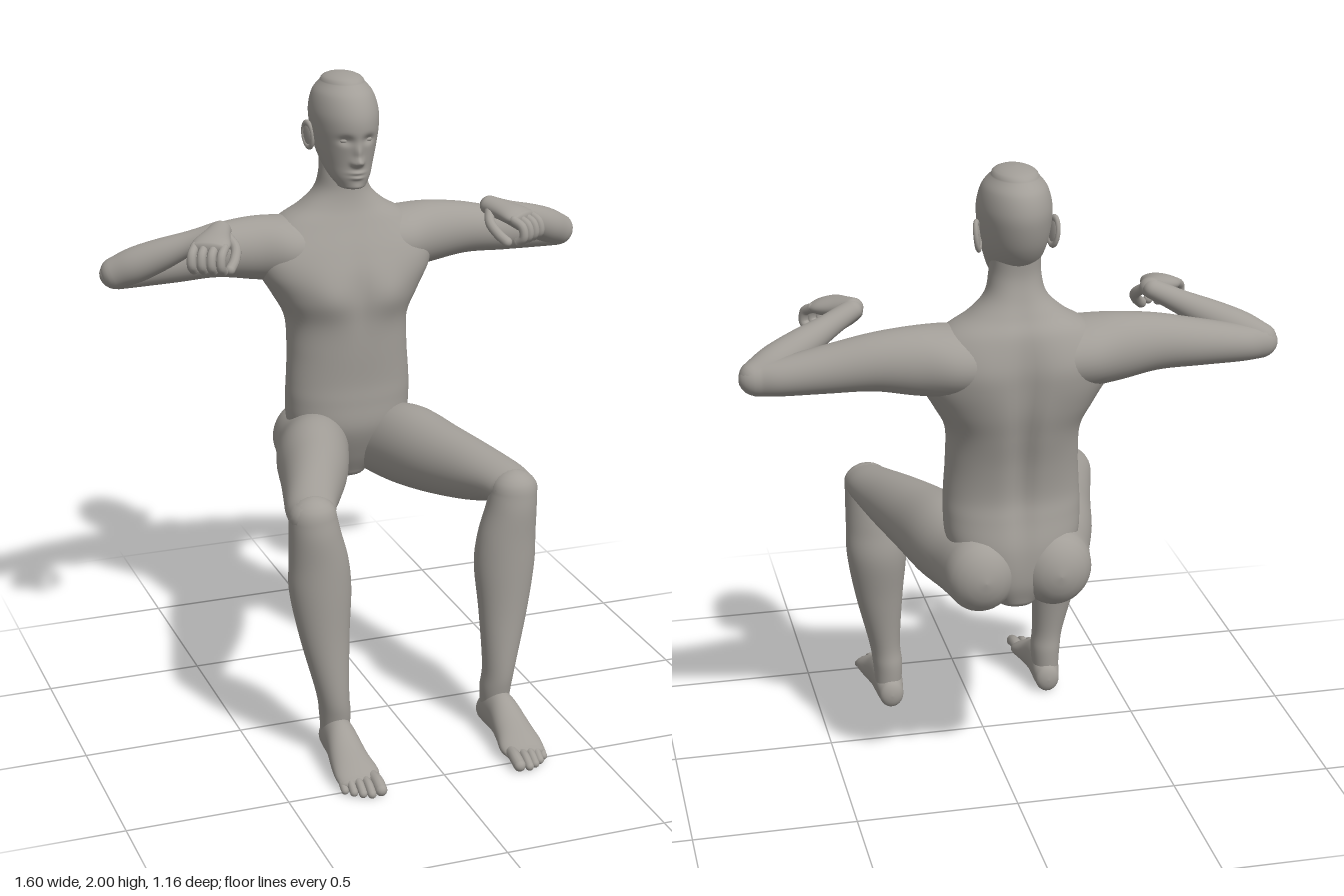
import * as THREE from 'three';
import { mergeGeometries } from 'three/addons/utils/BufferGeometryUtils.js';

const V3 = (x, y, z) => new THREE.Vector3(x, y, z);
const X = V3(1, 0, 0), Y = V3(0, 1, 0), Z = V3(0, 0, 1);

// Smooth skin through elliptical rings [x, y, z, radiusU, radiusV], with rounded ends.
function loft(rings, U, V, { cap0 = 0.02, cap1 = 0.02, segs = 40, steps = 6, power = 2, shape } = {}) {
  const curve = pts => new THREE.CatmullRomCurve3(pts, false, 'catmullrom', 0.5);
  const centres = curve(rings.map(r => V3(r[0], r[1], r[2])));
  const radii = curve(rings.map(r => V3(r[3], r[4], 0)));
  const N = U.clone().cross(V);
  const travel = centres.getPoint(1).sub(centres.getPoint(0)).dot(N);
  const ahead = N.clone().multiplyScalar(Math.sign(travel));
  const list = [], count = (rings.length - 1) * steps, capSteps = 6;
  const addCap = (t, height, i) => {
    const a = (i / capSteps) * Math.PI / 2;
    list.push([centres.getPoint(t).addScaledVector(ahead, height * Math.sin(a)),
      radii.getPoint(t).multiplyScalar(Math.max(Math.cos(a), 0.001))]);
  };
  for (let i = capSteps; i > 0; i--) addCap(0, -cap0, i);
  for (let i = 0; i <= count; i++) list.push([centres.getPoint(i / count), radii.getPoint(i / count)]);
  for (let i = 1; i <= capSteps; i++) addCap(1, cap1, i);

  const pos = [], index = [];
  const bulge = v => Math.sign(v) * Math.abs(v) ** (2 / power);
  list.forEach(([c, r], j) => {
    for (let i = 0; i < segs; i++) {
      const a = (i / segs) * Math.PI * 2;
      const p = c.clone().addScaledVector(U, r.x * bulge(Math.cos(a))).addScaledVector(V, r.y * bulge(Math.sin(a)));
      if (shape) shape(p);
      pos.push(p.x, p.y, p.z);
      if (j === list.length - 1) continue;
      const k = (i + 1) % segs, p0 = j * segs + i, p1 = j * segs + k, q0 = p0 + segs, q1 = p1 + segs;
      if (travel > 0) index.push(p0, p1, q1, p0, q1, q0);
      else index.push(p0, q1, p1, p0, q0, q1);
    }
  });
  const g = new THREE.BufferGeometry();
  g.setAttribute('position', new THREE.Float32BufferAttribute(pos, 3));
  g.setIndex(index);
  g.computeVertexNormals();
  return g;
}

// Round tube with ball ends for fingers and toes.
function digit(points, r) {
  const ends = [points[0], points[points.length - 1]].map(p =>
    new THREE.SphereGeometry(r, 14, 10).translate(p.x, p.y, p.z));
  return mergeGeometries([new THREE.TubeGeometry(new THREE.CatmullRomCurve3(points), 14, r, 12), ...ends]);
}

function ellipsoid(x, y, z, rx, ry, rz) {
  return new THREE.SphereGeometry(1, 24, 16).scale(rx, ry, rz).translate(x, y, z);
}

function mirrored(g) {
  const m = g.clone().scale(-1, 1, 1), a = m.index.array;
  for (let i = 0; i < a.length; i += 3) [a[i], a[i + 1]] = [a[i + 1], a[i]];
  return m;
}

// Soft bump centred at (x0, y0), repeated on both sides.
const bump = (p, x0, y0, sx, sy, h) =>
  h * Math.exp(-(((Math.abs(p.x) - x0) / sx) ** 2) - ((p.y - y0) / sy) ** 2);

export function createModel() {
  const skin = new THREE.MeshStandardMaterial({ color: 0xa29e98 });
  skin.name = 'grey skin';
  const model = new THREE.Group();
  model.name = 'seatedFigure';
  const add = (name, g) => {
    const mesh = new THREE.Mesh(g, skin);
    mesh.name = name;
    model.add(mesh);
  };
  const addPair = (name, g) => {
    add(name + 'Left', g);
    add(name + 'Right', mirrored(g));
  };

  // Torso and neck: y, z, half width, half depth
  const torso = [[0.69, -0.43, 0.07, 0.09], [0.76, -0.42, 0.14, 0.12], [0.86, -0.4, 0.195, 0.142],
    [0.95, -0.39, 0.205, 0.135], [1.02, -0.386, 0.203, 0.13], [1.12, -0.39, 0.197, 0.14],
    [1.22, -0.4, 0.2, 0.155], [1.3, -0.407, 0.24, 0.165], [1.38, -0.415, 0.285, 0.162],
    [1.45, -0.428, 0.29, 0.148], [1.53, -0.44, 0.22, 0.12], [1.58, -0.437, 0.14, 0.095],
    [1.63, -0.43, 0.09, 0.078], [1.69, -0.422, 0.075, 0.07], [1.76, -0.43, 0.072, 0.066]];
  add('torso', loft(torso.map(([y, z, w, d]) => [0, y, z, w, d]), X, Z, {
    cap0: 0.03, segs: 80, power: 2.2,
    shape: p => {
      if (p.z > -0.4) p.z += bump(p, 0.1, 1.31, 0.07, 0.07, 0.016) - bump(p, 0, 1.33, 0.03, 0.12, 0.006);
      else p.z += bump(p, 0, 1.2, 0.035, 0.3, 0.022) - bump(p, 0.12, 1.42, 0.08, 0.1, 0.012);
    },
  }));

  // Head with modelled face
  const head = [[1.66, -0.335, 0.045, 0.052], [1.69, -0.36, 0.065, 0.084], [1.73, -0.385, 0.081, 0.11],
    [1.78, -0.4, 0.095, 0.132], [1.84, -0.405, 0.104, 0.149], [1.89, -0.41, 0.105, 0.149],
    [1.94, -0.415, 0.092, 0.129], [1.975, -0.418, 0.066, 0.092]];
  add('head', loft(head.map(([y, z, w, d]) => [0, y, z, w, d]), X, Z, {
    cap0: 0.012, cap1: 0.025, segs: 96, steps: 12,
    shape: p => {
      if (p.z < -0.37) return;
      p.z += bump(p, 0, 1.742, 0.016, 0.014, 0.024) + bump(p, 0, 1.772, 0.012, 0.026, 0.014)
        + bump(p, 0.014, 1.738, 0.007, 0.008, 0.007) - bump(p, 0.037, 1.812, 0.02, 0.014, 0.014)
        + bump(p, 0, 1.707, 0.024, 0.006, 0.007) + bump(p, 0, 1.691, 0.02, 0.006, 0.007)
        + bump(p, 0, 1.66, 0.022, 0.012, 0.005);
    },
  }));
  addPair('eye', ellipsoid(0.037, 1.81, -0.295, 0.017, 0.01, 0.014));
  const ear = mergeGeometries([
    new THREE.TorusGeometry(0.03, 0.008, 10, 28).scale(0.75, 1.3, 0.9),
    new THREE.SphereGeometry(1, 20, 12).scale(0.022, 0.038, 0.007),
  ]);
  addPair('ear', ear.rotateX(0.1).rotateY(Math.PI / 2 - 0.4).translate(0.11, 1.805, -0.43));

  // Upper arm: sections across x
  addPair('upperArm', loft([[0.1, 1.44, -0.44, 0.1, 0.13], [0.2, 1.445, -0.44, 0.104, 0.13],
    [0.3, 1.452, -0.445, 0.1, 0.1], [0.42, 1.455, -0.44, 0.084, 0.08], [0.55, 1.44, -0.43, 0.07, 0.068],
    [0.68, 1.425, -0.423, 0.056, 0.056], [0.74, 1.42, -0.415, 0.05, 0.046]], Y, Z, { cap1: 0.058 }));

  // Forearm: sections across the elbow to wrist line
  const elbow = V3(0.75, 1.423, -0.41), wrist = V3(0.45, 1.562, -0.285);
  const along = wrist.clone().sub(elbow).normalize();
  const armU = Y.clone().cross(along).normalize(), armV = along.clone().cross(armU);
  const forearm = [[0, 0.046, 0.05], [0.2, 0.055, 0.056], [0.45, 0.05, 0.05], [0.75, 0.037, 0.036], [1, 0.034, 0.03]];
  addPair('forearm', loft(forearm.map(([t, u, v]) => [...elbow.clone().lerp(wrist, t).toArray(), u, v]),
    armU, armV, { cap0: 0.045, cap1: 0.03 }));

  // Hand: palm bent forward from the wrist, with curled fingers
  const knuckle = V3(0.515, 1.545, -0.165);
  const reach = V3(0.55, -0.12, 0.83).normalize();
  const across = reach.clone().cross(Y).normalize().negate(), palmUp = across.clone().cross(reach);
  const palm = [[0, 0.034, 0.03], [0.35, 0.044, 0.03], [0.75, 0.06, 0.028], [1, 0.06, 0.021]];
  addPair('palm', loft(palm.map(([t, u, v]) =>
    [...V3(0.445, 1.565, -0.28).lerp(knuckle, t).toArray(), u, v]), across, palmUp, { cap0: 0.025, cap1: 0.012 }));
  for (let i = 0; i < 4; i++) {
    const base = knuckle.clone().addScaledVector(across, (i - 1.5) * 0.031);
    const bend = [[-0.005, 0], [0.028, -0.014], [0.034, -0.045], [0.012, -0.066]].map(([f, d]) =>
      base.clone().addScaledVector(reach, f).addScaledVector(Y, d));
    addPair('finger' + (i + 1), digit(bend, 0.0145));
  }
  addPair('thumb', digit([V3(0.435, 1.555, -0.25), V3(0.42, 1.525, -0.205), V3(0.435, 1.495, -0.17),
    V3(0.455, 1.475, -0.15)], 0.016));

  // Thigh with buttock: sections across z
  addPair('thigh', loft([[0.113, 0.785, -0.48, 0.11, 0.12], [0.125, 0.785, -0.38, 0.12, 0.125],
    [0.165, 0.795, -0.25, 0.122, 0.136], [0.21, 0.797, -0.1, 0.112, 0.12], [0.265, 0.8, 0.05, 0.096, 0.097],
    [0.31, 0.805, 0.17, 0.083, 0.07], [0.328, 0.8, 0.24, 0.073, 0.06]], X, Y, { cap0: 0.088, cap1: 0.06 }));

  // Lower leg: sections across y
  addPair('lowerLeg', loft([[0.268, 0.06, 0.245, 0.042, 0.045], [0.268, 0.14, 0.252, 0.048, 0.056],
    [0.277, 0.22, 0.257, 0.051, 0.059], [0.295, 0.4, 0.24, 0.077, 0.07], [0.303, 0.55, 0.226, 0.096, 0.084],
    [0.308, 0.65, 0.229, 0.092, 0.081], [0.32, 0.74, 0.234, 0.08, 0.077], [0.327, 0.8, 0.235, 0.073, 0.07]],
  X, Z, { cap1: 0.062 }));

  // Foot: sections across z, flattened at the sole
  addPair('foot', loft([[0.265, 0.048, 0.205, 0.04, 0.048], [0.267, 0.068, 0.25, 0.047, 0.07],
    [0.27, 0.07, 0.32, 0.051, 0.07], [0.272, 0.048, 0.4, 0.061, 0.05], [0.27, 0.034, 0.46, 0.069, 0.034],
    [0.272, 0.025, 0.5, 0.062, 0.021]], X, Y, {
    cap0: 0.025, cap1: 0.015, shape: p => { p.y = Math.max(p.y, 0.002); },
  }));
  const toes = [[0.226, 0.556, 0.019], [0.257, 0.562, 0.0135], [0.281, 0.55, 0.013],
    [0.304, 0.533, 0.0125], [0.325, 0.511, 0.012]];
  toes.forEach(([x, tip, r], i) => addPair('toe' + (i + 1),
    digit([V3(x * 0.9 + 0.027, 0.03, tip - 0.085), V3(x, 0.03, tip - 0.035), V3(x, r, tip)], r)));

  return model;
}
